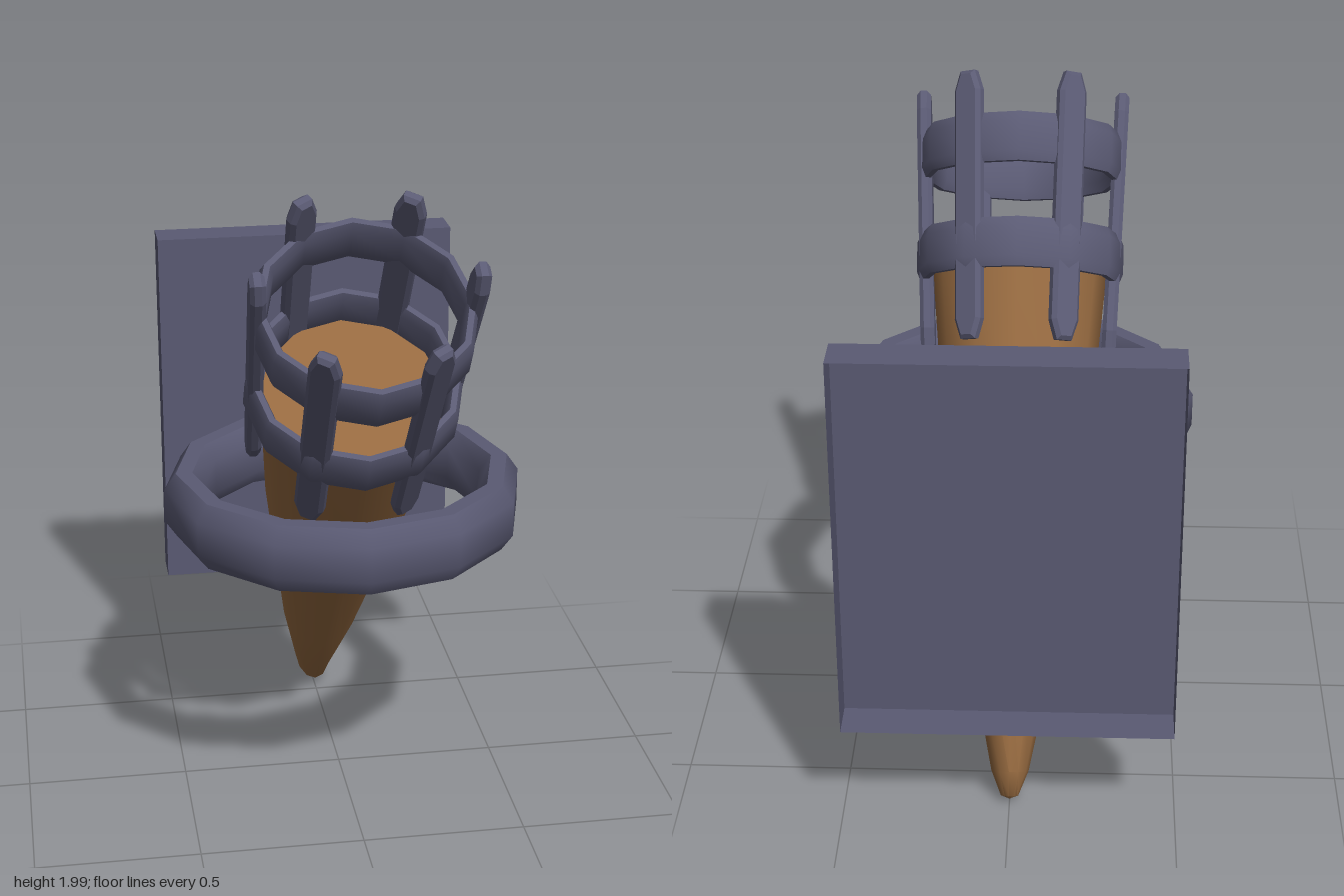
import * as THREE from 'three';
import { toCreasedNormals } from 'three/addons/utils/BufferGeometryUtils.js';

const iron = new THREE.MeshStandardMaterial({ name: 'dark iron', color: 0x5a5a73, side: THREE.DoubleSide });
const wood = new THREE.MeshStandardMaterial({ name: 'brown wood', color: 0x966a40 });

function part(parent, name, geometry, material) {
  const mesh = new THREE.Mesh(geometry, material);
  mesh.name = name;
  parent.add(mesh);
  return mesh;
}

// Twelve-sided hoop with a bevelled band section
function hoop(outer, inner, half, bevelR, bevelY) {
  const section = [
    [inner, half - bevelY], [inner, bevelY - half], [inner + bevelR, -half], [outer - bevelR, -half],
    [outer, bevelY - half], [outer, half - bevelY], [outer - bevelR, half], [inner + bevelR, half],
    [inner, half - bevelY],
  ].map(([r, y]) => new THREE.Vector2(r, y));
  return toCreasedNormals(new THREE.LatheGeometry(section, 12), 0.8);
}

// Shaft tapering to a flattened tip: [radius, height, sideways squeeze]
function shaftGeometry() {
  const rows = [
    [0, -1.665, 1], [0.038, -1.655, 0.7], [0.098, -1.58, 0.58], [0.138, -1.275, 0.86],
    [0.228, -0.51, 1], [0.272, -0.03, 1], [0, -0.03, 1],
  ];
  const geometry = new THREE.LatheGeometry(rows.map(([r, y]) => new THREE.Vector2(r, y)), 12);
  const pos = geometry.attributes.position;
  for (let i = 0; i < pos.count; i++) pos.setX(i, pos.getX(i) * rows[i % rows.length][2]);
  return toCreasedNormals(geometry, 0.75);
}

// Flat strap with tapered ends and bevelled edges
function strapGeometry() {
  const w = 0.034, h = 0.395;
  const outline = [[-w, -h + 0.05], [-w * 0.5, -h], [w * 0.5, -h], [w, -h + 0.05],
    [w, h - 0.05], [w * 0.5, h], [-w * 0.5, h], [-w, h - 0.05]];
  const shape = new THREE.Shape(outline.map(([x, y]) => new THREE.Vector2(x, y)));
  const geometry = new THREE.ExtrudeGeometry(shape, {
    depth: 0.02, bevelEnabled: true, bevelThickness: 0.012, bevelSize: 0.012, bevelSegments: 1,
  });
  return geometry.translate(0, 0, -0.01);
}

export function createModel() {
  const model = new THREE.Group();
  model.name = 'wallTorch';

  // Wall plate, hollow at the back
  const plate = new THREE.BoxGeometry(0.97, 1.2, 0.12);
  plate.setIndex(Array.from(plate.index.array).slice(0, 30));
  plate.clearGroups();
  part(model, 'wallPlate', plate, iron).position.set(0, 0.98, -0.762);

  // Arm and holding ring
  part(model, 'bracketArm', new THREE.BoxGeometry(0.23, 0.206, 0.301), iron).position.set(0, 0.98, -0.5515);
  const holder = part(model, 'holdingRing', hoop(0.545, 0.425, 0.103, 0.035, 0.05), iron);
  holder.position.set(0, 0.98, 0.085);
  holder.scale.z = 0.975;

  // Tilted torch
  const torch = new THREE.Group();
  torch.name = 'torch';
  torch.position.set(0, 1.4, 0.28);
  torch.rotation.x = THREE.MathUtils.degToRad(34);
  model.add(torch);
  part(torch, 'shaft', shaftGeometry(), wood);

  // Basket hoops
  const band = hoop(0.322, 0.28, 0.075, 0.012, 0.03);
  part(torch, 'lowerHoop', band, iron);
  part(torch, 'upperHoop', band, iron).position.y = 0.32;

  // Basket straps, leaning slightly outward
  const strap = strapGeometry();
  for (let i = 0; i < 6; i++) {
    const holderGroup = new THREE.Group();
    holderGroup.name = 'basketStrap' + (i + 1);
    holderGroup.rotation.y = Math.PI / 6 + (i * Math.PI) / 3;
    const bar = part(holderGroup, 'strap', strap, iron);
    bar.position.set(0, 0.118, 0.296);
    bar.rotation.x = 0.04;
    torch.add(holderGroup);
  }
  return model;
}
